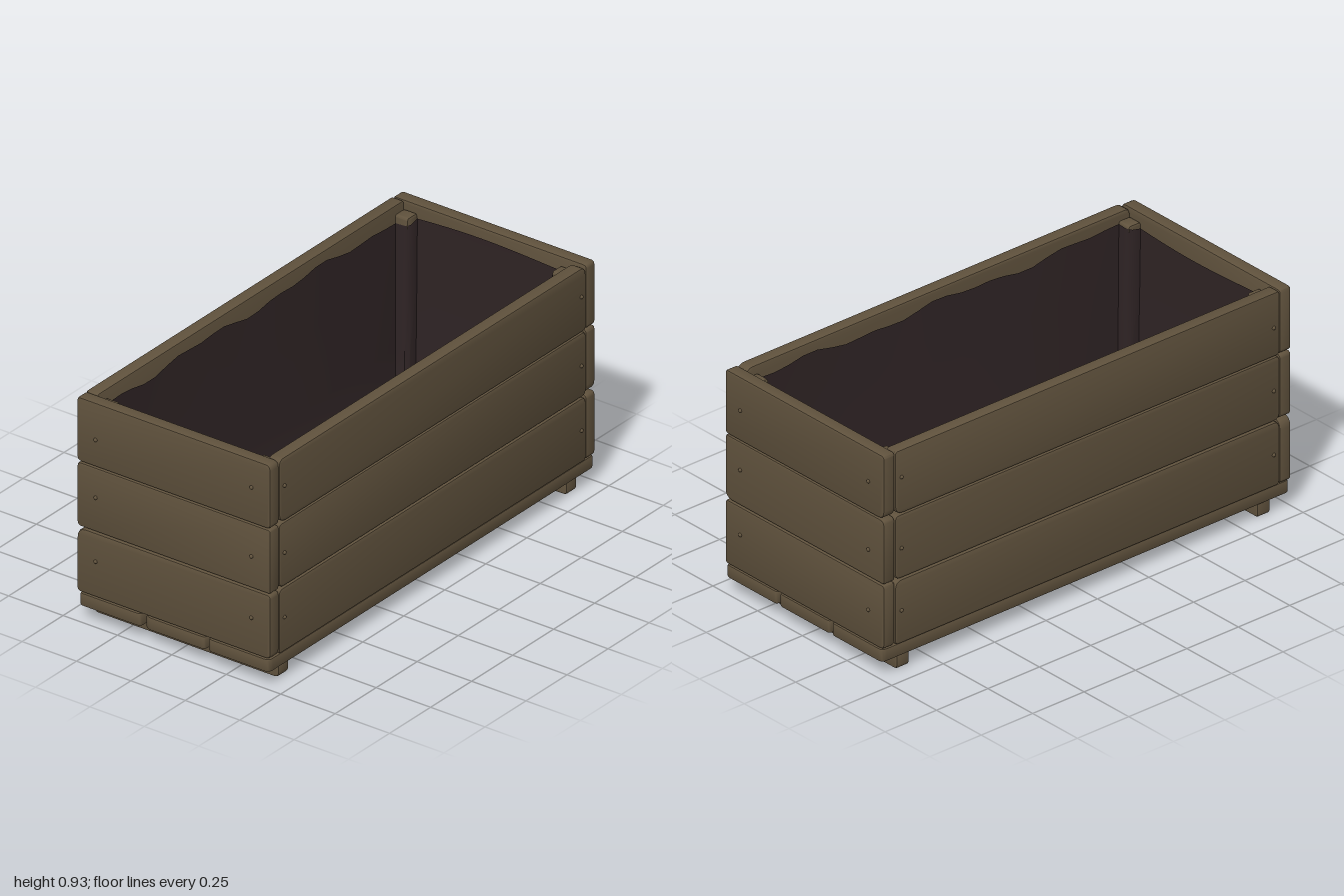
import * as THREE from 'three';
import { toCreasedNormals } from 'three/addons/utils/BufferGeometryUtils.js';

const wood = new THREE.MeshStandardMaterial({ color: 0x60523d });
wood.name = 'weathered wood';
const lining = new THREE.MeshStandardMaterial({ color: 0x2e2324, side: THREE.DoubleSide });
lining.name = 'dark liner';

let seed = 7;
const random = () => (seed = (seed * 16807) % 2147483647) / 2147483647;

// Board lying in the xy plane, centred, with unevenly worn corners and bevelled edges
function board(name, length, height, thickness, wear = 0.018) {
  const b = 0.007, w = length / 2 - b, h = height / 2 - b;
  const r = [0, 1, 2, 3].map(() => 0.004 + wear * random() * random());
  const s = new THREE.Shape();
  s.moveTo(-w + r[0], -h);
  s.lineTo(w - r[1], -h);
  s.quadraticCurveTo(w, -h, w, -h + r[1]);
  s.lineTo(w, h - r[2]);
  s.quadraticCurveTo(w, h, w - r[2], h);
  s.lineTo(-w + r[3], h);
  s.quadraticCurveTo(-w, h, -w, h - r[3]);
  s.lineTo(-w, -h + r[0]);
  s.quadraticCurveTo(-w, -h, -w + r[0], -h);
  const g = new THREE.ExtrudeGeometry(s, {
    depth: thickness - 2 * b, bevelEnabled: true, bevelSize: b, bevelThickness: b, bevelSegments: 2, curveSegments: 4,
  });
  g.translate(0, 0, b - thickness / 2);
  const mesh = new THREE.Mesh(toCreasedNormals(g, 0.6), wood);
  mesh.name = name;
  return mesh;
}

// Domed screw head facing +z
function screw(x, y, z) {
  const g = new THREE.SphereGeometry(0.008, 10, 5, 0, Math.PI * 2, 0, Math.PI / 2);
  g.rotateX(Math.PI / 2);
  const mesh = new THREE.Mesh(g, wood);
  mesh.name = 'screw';
  mesh.position.set(x, y, z);
  return mesh;
}

// Sagging liner: rings that follow a rectangle notched around the corner posts
function liner() {
  const X = 0.927, Z = 0.383, nx = 0.872, nz = 0.325;
  const corners = [
    [nx, -Z], [nx, -nz - 0.015], [nx + 0.015, -nz], [X, -nz],
    [X, nz], [nx + 0.015, nz], [nx, nz + 0.015], [nx, Z],
    [-nx, Z], [-nx, nz + 0.015], [-nx - 0.015, nz], [-X, nz],
    [-X, -nz], [-nx - 0.015, -nz], [-nx, -nz - 0.015], [-nx, -Z],
  ];
  const outline = [];
  corners.forEach(([x, z], i) => {
    const [x2, z2] = corners[(i + 1) % corners.length];
    const n = Math.max(1, Math.round(Math.hypot(x2 - x, z2 - z) / 0.07));
    for (let k = 0; k < n; k++) outline.push([x + (x2 - x) * k / n, z + (z2 - z) * k / n]);
  });
  // [height, inward scale, bulge of the long walls]
  const rings = [[0.875, 1, 0], [0.65, 0.995, 0.012], [0.35, 0.985, 0.03], [0.16, 0.975, 0.045], [0.128, 0.955, 0.05]];
  const pos = [], index = [], n = outline.length;
  rings.forEach(([y, s, bulge], j) => {
    for (const [x, z] of outline) {
      const sag = j ? 0 : 0.012 * Math.sin(x * 9 + z * 5) + 0.008 * Math.sin(x * 21 + z * 3);
      const bow = bulge * (1 - (x / X) ** 2) * (z / Z);
      pos.push(x * s, y + sag, z * s - bow);
    }
  });
  pos.push(0, 0.125, 0);
  for (let i = 0; i < n; i++) {
    const k = (i + 1) % n;
    for (let j = 0; j < rings.length - 1; j++) {
      const a = j * n + i, b = j * n + k;
      index.push(a, b, a + n, b, b + n, a + n);
    }
    const last = (rings.length - 1) * n;
    index.push(last + i, last + k, rings.length * n);
  }
  const g = new THREE.BufferGeometry();
  g.setAttribute('position', new THREE.Float32BufferAttribute(pos, 3));
  g.setIndex(index);
  const mesh = new THREE.Mesh(toCreasedNormals(g, 0.8), lining);
  mesh.name = 'liner';
  return mesh;
}

export function createModel() {
  const planter = new THREE.Group();
  planter.name = 'planter box';

  // Four walls of three planks each, screwed to the corner posts
  const walls = [
    ['front', 1.868, 0, 0.418, 0.905],
    ['left', 0.888, Math.PI / 2, 0.963, 0.358],
    ['back', 1.868, Math.PI, 0.418, 0.905],
    ['right', 0.888, -Math.PI / 2, 0.963, 0.358],
  ];
  for (const [side, length, turn, distance, screwX] of walls) {
    const wall = new THREE.Group();
    wall.name = side + 'Wall';
    wall.rotation.y = turn;
    for (const y of [0.252, 0.525, 0.796]) {
      const plank = board(side + 'Plank', length, 0.266, 0.054, 0.04);
      plank.position.set(0, y, distance);
      wall.add(plank);
      for (const s of [-1, 1]) {
        wall.add(screw(s * screwX, y + (random() - 0.5) * 0.04, distance + 0.027));
      }
    }
    planter.add(wall);
  }

  // Corner posts
  for (const x of [-1, 1]) for (const z of [-1, 1]) {
    const post = board('cornerPost', 0.06, 0.78, 0.06, 0.008);
    post.position.set(x * 0.906, 0.505, z * 0.361);
    planter.add(post);
  }

  // Base boards
  for (const z of [-0.293, 0.002, 0.297]) {
    const base = board('baseBoard', 1.98, 0.283, 0.054, 0.025);
    base.rotation.x = -Math.PI / 2;
    base.position.set(0, 0.088, z);
    planter.add(base);
  }

  // Runners under the base
  for (const x of [-1, 1]) {
    const runner = board('footRunner', 0.844, 0.063, 0.062, 0.02);
    runner.rotation.y = Math.PI / 2;
    runner.position.set(x * 0.877, 0.0315, 0);
    planter.add(runner);
  }

  planter.add(liner());
  return planter;
}
